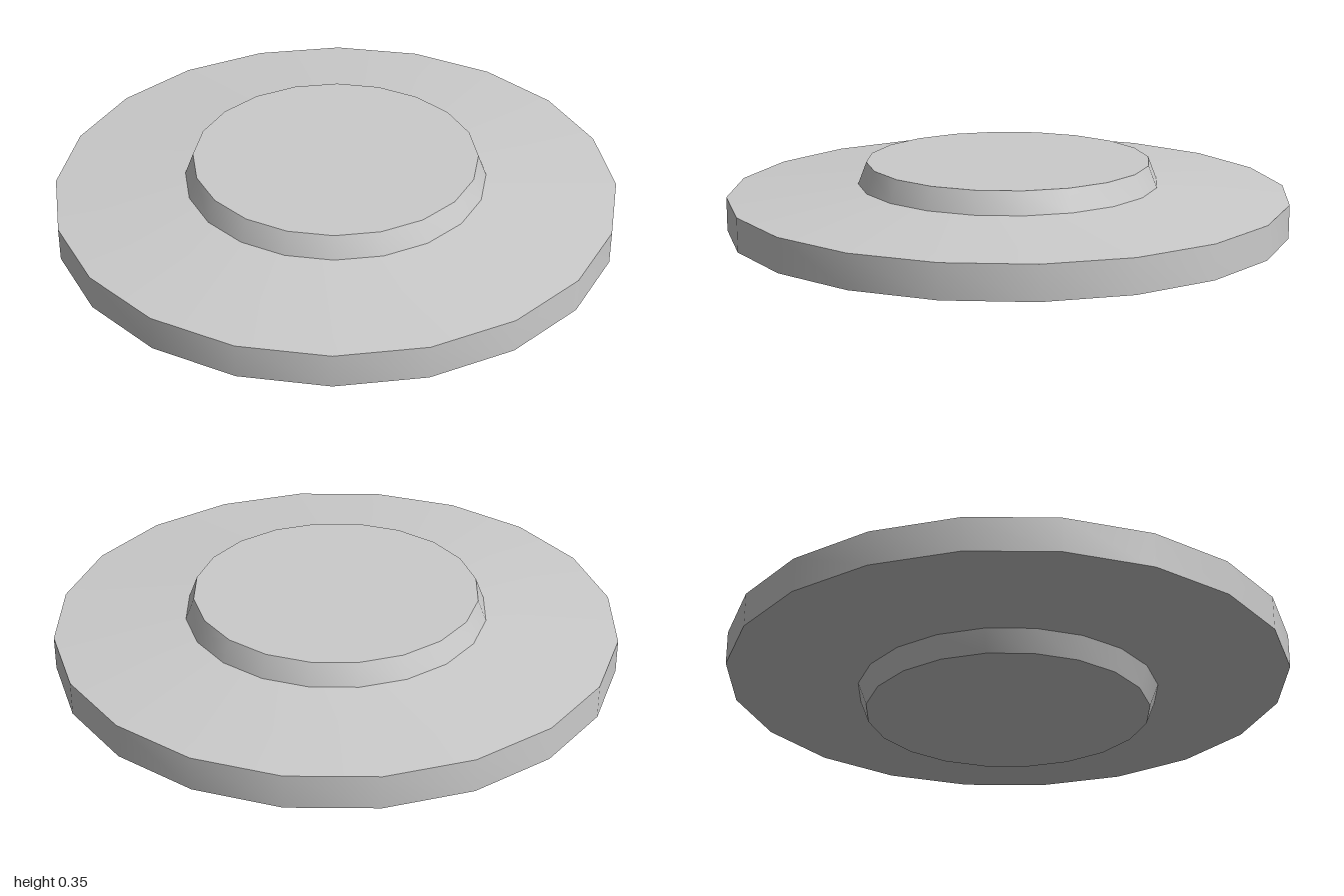
import * as THREE from 'three';
import { toCreasedNormals } from 'three/addons/utils/BufferGeometryUtils.js';

const SIDES = 20;
const HEIGHT = 0.355;
const HUB_TOP = 0.505, HUB_BASE = 0.535;
const HUB_Y = 0.277, RIM_Y = 0.238;

// Turn a bottom-to-top [radius, y] profile, smooth around and sharp at the edges
function turned(name, profile, material) {
  const points = profile.map(([r, y]) => new THREE.Vector2(r, y));
  const geometry = toCreasedNormals(new THREE.LatheGeometry(points, SIDES), 0.5);
  const mesh = new THREE.Mesh(geometry, material);
  mesh.name = name;
  return mesh;
}

export function createModel() {
  const group = new THREE.Group();
  group.name = 'hubbedDisc';
  const material = new THREE.MeshStandardMaterial({ color: 0xcccccc });

  // Wide disc, thinning slightly towards its upright rim
  group.add(turned('disc', [
    [HUB_BASE, HEIGHT - HUB_Y], [1, HEIGHT - RIM_Y], [1, RIM_Y], [HUB_BASE, HUB_Y],
  ], material));

  // Tapered hubs above and below
  group.add(turned('upperHub', [[HUB_BASE, HUB_Y], [HUB_TOP, HEIGHT], [0, HEIGHT]], material));
  group.add(turned('lowerHub', [[0, 0], [HUB_TOP, 0], [HUB_BASE, HEIGHT - HUB_Y]], material));

  return group;
}
